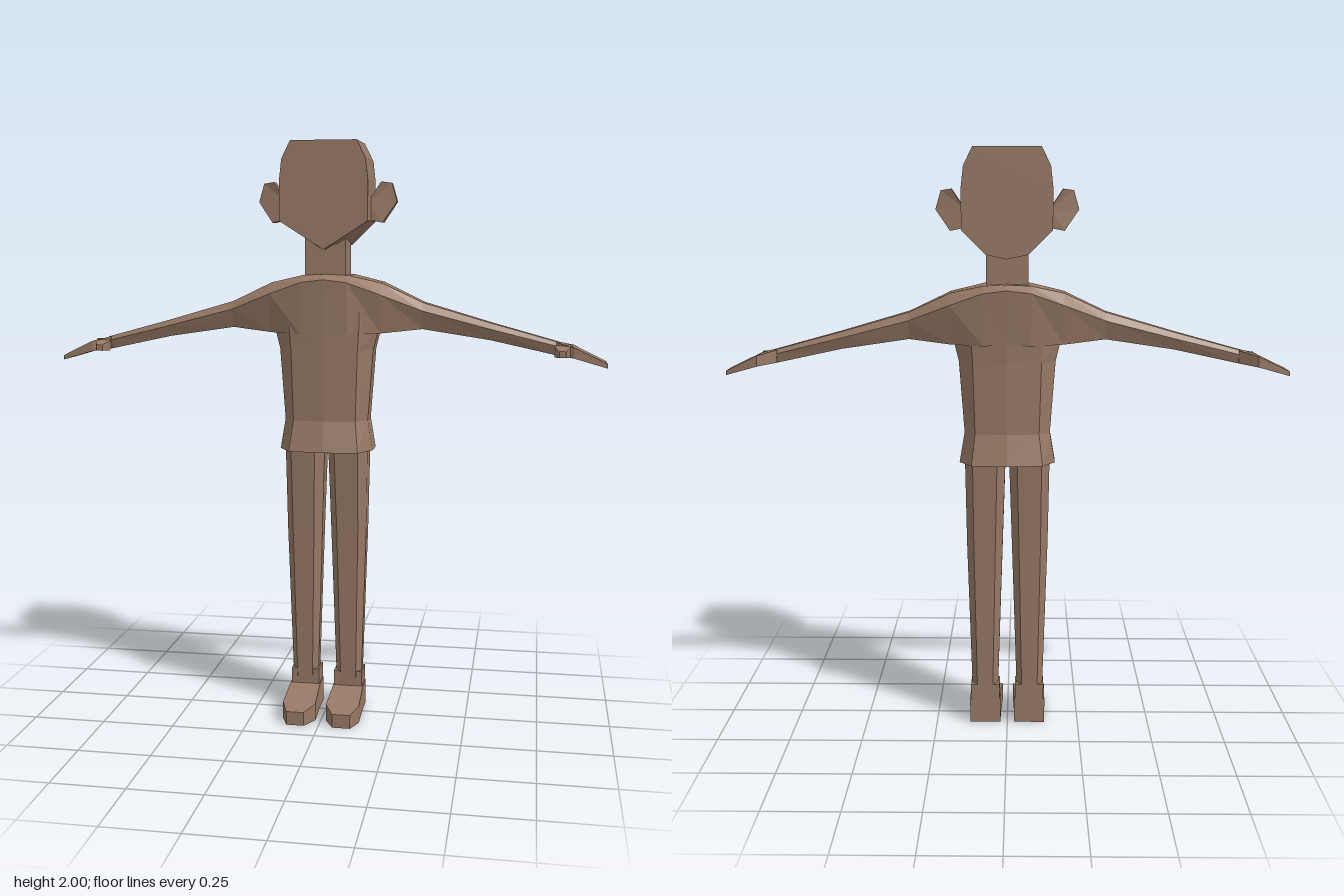
import * as THREE from 'three';

const skin = new THREE.MeshStandardMaterial({ color: 0x967864, flatShading: true });

// Closed faceted solid through a list of rings with equal point counts
function loft(name, rings) {
  const pos = [];
  const tri = (a, b, c) => pos.push(...a, ...b, ...c);
  const n = rings[0].length;
  for (let r = 0; r < rings.length - 1; r++) {
    for (let i = 0; i < n; i++) {
      const j = (i + 1) % n;
      const [a, b, c, d] = [rings[r][i], rings[r][j], rings[r + 1][j], rings[r + 1][i]];
      tri(a, b, c);
      tri(a, c, d);
    }
  }
  const first = rings[0], last = rings[rings.length - 1];
  for (let i = 1; i < n - 1; i++) {
    tri(first[0], first[i + 1], first[i]);
    tri(last[0], last[i], last[i + 1]);
  }
  // Turn the faces outwards by checking the signed volume
  const a = new THREE.Vector3(), b = new THREE.Vector3(), c = new THREE.Vector3();
  let volume = 0;
  for (let k = 0; k < pos.length; k += 9) {
    a.fromArray(pos, k); b.fromArray(pos, k + 3); c.fromArray(pos, k + 6);
    volume += a.dot(b.cross(c));
  }
  if (volume < 0) {
    for (let k = 0; k < pos.length; k += 9) {
      for (let m = 0; m < 3; m++) [pos[k + 3 + m], pos[k + 6 + m]] = [pos[k + 6 + m], pos[k + 3 + m]];
    }
  }
  const geo = new THREE.BufferGeometry();
  geo.setAttribute('position', new THREE.Float32BufferAttribute(pos, 3));
  geo.computeVertexNormals();
  const mesh = new THREE.Mesh(geo, skin);
  mesh.name = name;
  return mesh;
}

const mirrored = (rings, s) => rings.map(r => r.map(([x, y, z]) => [x * s, y, z]));

// Rectangle across the x axis, and across the z axis
const rectX = (x, y0, y1, z0, z1) => [[x, y0, z0], [x, y1, z0], [x, y1, z1], [x, y0, z1]];
const rectZ = (z, x0, x1, y0, y1) => [[x0, y0, z], [x1, y0, z], [x1, y1, z], [x0, y1, z]];

// Horizontal torso ring: bowed front and back, chamfered sides
function torsoRing(y, corner, side, zf, zb) {
  const half = [[corner, zf - 0.012], [side, -0.01], [side, -0.09], [corner, zb + 0.012]];
  return [
    [0, y, zf], ...half.map(([x, z]) => [x, y, z]),
    [0, y, zb], ...half.reverse().map(([x, z]) => [-x, y, z]),
  ];
}

// Six-sided arm section: narrow top, full middle, narrow bottom
const armRing = (x, yt, ym, yb, top, mid, low) => [
  [x, yt, top[0]], [x, ym, mid[0]], [x, yb, low[0]],
  [x, yb, low[1]], [x, ym, mid[1]], [x, yt, top[1]],
];

// Eight-sided leg section
function legRing(y, x0, x1, zf, zb) {
  const cx = (x1 - x0) * 0.2, cz = (zf - zb) * 0.28;
  return [
    [x0 + cx, y, zf], [x1 - cx, y, zf], [x1, y, zf - cz], [x1, y, zb + cz],
    [x1 - cx, y, zb], [x0 + cx, y, zb], [x0, y, zb + cz], [x0, y, zf - cz],
  ];
}

export function createModel() {
  const model = new THREE.Group();
  model.name = 'figure';

  // Head: flat-fronted block with a pointed chin, rounder at the back
  const headHalf = chinX => [[0.112, 2], [0.142, 1.94], [0.15, 1.87], [0.15, 1.735], [chinX, chinX > 0.05 ? 1.655 : 1.662]];
  const headRing = (z, chinX) => {
    const half = headHalf(chinX);
    return [...half.map(([x, y]) => [x, y, z]), [0, 1.64, z],
      ...half.reverse().map(([x, y]) => [-x, y, z])];
  };
  model.add(loft('head', [headRing(0.058, 0.035), headRing(-0.145, 0.07)]));

  // Neck
  const neck = new THREE.Mesh(new THREE.BoxGeometry(0.14, 0.18, 0.12), skin);
  neck.name = 'neck';
  neck.position.set(0, 1.6, -0.045);
  model.add(neck);

  // Shirt body with flared hem
  model.add(loft('torso', [
    torsoRing(0.95, 0.12, 0.163, 0.077, -0.168),
    torsoRing(1.055, 0.108, 0.145, 0.05, -0.145),
    torsoRing(1.3, 0.115, 0.163, 0.055, -0.148),
    torsoRing(1.37, 0.12, 0.18, 0.057, -0.152),
    torsoRing(1.45, 0.12, 0.18, 0.055, -0.152),
  ]));

  // Shoulders and both arms in one span
  const armRings = [
    armRing(0, 1.557, 1.54, 1.36, [0.02, -0.145], [0.066, -0.172], [0.057, -0.152]),
    armRing(0.08, 1.553, 1.53, 1.355, [0.015, -0.14], [0.062, -0.168], [0.053, -0.15]),
    armRing(0.19, 1.528, 1.49, 1.358, [-0.005, -0.115], [0.042, -0.15], [0.015, -0.12]),
    armRing(0.33, 1.462, 1.435, 1.372, [-0.02, -0.085], [0.002, -0.105], [-0.02, -0.085]),
    armRing(0.56, 1.395, 1.375, 1.337, [-0.025, -0.075], [-0.01, -0.09], [-0.025, -0.075]),
    armRing(0.79, 1.332, 1.318, 1.287, [-0.03, -0.068], [-0.02, -0.077], [-0.03, -0.068]),
  ];
  model.add(loft('shouldersAndArms', [
    ...mirrored(armRings.slice(1), -1).reverse(), ...armRings,
  ]));

  for (const [side, s] of [['left', 1], ['right', -1]]) {
    const add = (name, rings) => model.add(loft(side + name, mirrored(rings, s)));

    // Mitten hand and thumb
    add('Hand', [
      rectX(0.78, 1.29, 1.333, -0.077, -0.02),
      rectX(0.84, 1.282, 1.318, -0.117, 0.01),
      rectX(0.95, 1.25, 1.265, -0.097, 0.002),
    ]);
    add('Thumb', [
      rectZ(-0.035, 0.785, 0.835, 1.292, 1.325),
      rectZ(0.012, 0.775, 0.825, 1.285, 1.32),
      rectZ(0.046, 0.79, 0.812, 1.287, 1.308),
    ]);

    // Ear: tapered slab standing off the side of the head
    const ear = [[0.14, 1.8], [0.185, 1.867], [0.22, 1.862], [0.238, 1.8], [0.19, 1.73], [0.14, 1.74]];
    const earRing = sign => ear.map(([x, y]) => [x, y, -0.047 + sign * (x > 0.2 ? 0.016 : 0.026)]);
    add('Ear', [earRing(1), earRing(-1)]);

    // Trouser leg
    add('Leg', [
      legRing(0.97, 0.006, 0.145, 0.04, -0.132),
      legRing(0.66, 0.016, 0.14, 0.015, -0.108),
      legRing(0.1, 0.034, 0.123, -0.012, -0.09),
    ]);

    // Ankle block and shoe
    add('Ankle', [rectZ(-0.092, 0.027, 0.128, 0.05, 0.142), rectZ(-0.012, 0.027, 0.128, 0.05, 0.142)]);
    add('Shoe', [
      rectZ(-0.09, 0.024, 0.132, 0, 0.088),
      rectZ(-0.012, 0.024, 0.132, 0, 0.088),
      rectZ(0.112, 0.019, 0.135, 0, 0.06),
      rectZ(0.17, 0.05, 0.112, 0, 0.048),
    ]);
  }
  return model;
}
